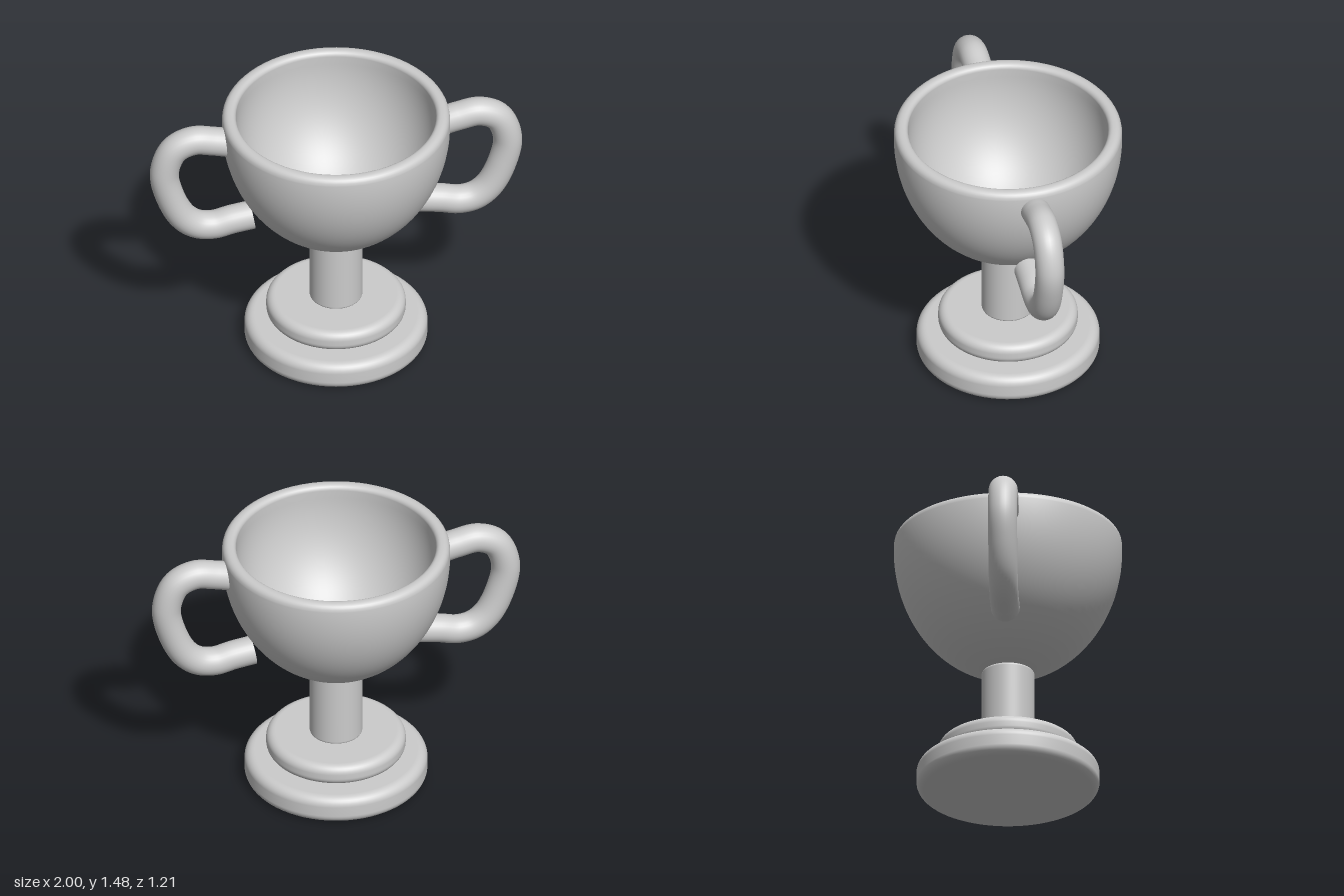
import * as THREE from 'three';

const material = new THREE.MeshStandardMaterial({ color: 0xcccccc });
const SEGMENTS = 72;

// Adds points along an elliptical arc to a lathe profile
function arc(points, cx, cy, rx, ry, from, to, steps) {
  for (let i = 0; i <= steps; i++) {
    const a = from + (to - from) * i / steps;
    points.push(new THREE.Vector2(Math.max(0, cx + rx * Math.cos(a)), cy + ry * Math.sin(a)));
  }
}

function lathe(name, points) {
  const mesh = new THREE.Mesh(new THREE.LatheGeometry(points, SEGMENTS), material);
  mesh.name = name;
  return mesh;
}

// Solid disc or column with rounded edges
function roundedDisc(name, radius, y0, y1, bevel) {
  const points = [new THREE.Vector2(0, y0), new THREE.Vector2(radius - bevel - 0.004, y0)];
  arc(points, radius - bevel, y0 + bevel, bevel, bevel, -Math.PI / 2, 0, 8);
  arc(points, radius - bevel, y1 - bevel, bevel, bevel, 0, Math.PI / 2, 8);
  points.push(new THREE.Vector2(radius - bevel - 0.004, y1), new THREE.Vector2(0, y1));
  return lathe(name, points);
}

// Hollow bowl: outer wall, rounded rim, inner wall
function bowl() {
  const points = [];
  arc(points, 0, 1.4, 0.605, 0.715, -Math.PI / 2, 0, 32);
  points.push(new THREE.Vector2(0.604, 1.435));
  arc(points, 0.567, 1.438, 0.036, 0.037, 0.1, Math.PI / 2, 6);
  arc(points, 0.558, 1.447, 0.028, 0.028, Math.PI / 2, Math.PI, 6);
  arc(points, 0, 1.4, 0.53, 0.64, 0, -Math.PI / 2, 32);
  return lathe('bowl', points);
}

// Curved tube handle with flat end caps, on the +x side
function handle(name) {
  const radius = 0.077;
  const path = new THREE.CatmullRomCurve3([
    [0.57, 1.35], [0.66, 1.372], [0.77, 1.388], [0.87, 1.34], [0.922, 1.2],
    [0.893, 1.04], [0.825, 0.9], [0.75, 0.838], [0.66, 0.822], [0.56, 0.843], [0.45, 0.86],
  ].map(([x, y]) => new THREE.Vector3(x, y, 0)));
  const group = new THREE.Group();
  group.name = name;
  const tube = new THREE.Mesh(new THREE.TubeGeometry(path, 80, radius, 28), material);
  tube.name = name + 'Tube';
  group.add(tube);
  for (const t of [0, 1]) {
    const cap = new THREE.Mesh(new THREE.CircleGeometry(radius, 28), material);
    cap.name = name + 'Cap';
    const outward = path.getTangentAt(t).multiplyScalar(t ? 1 : -1);
    cap.quaternion.setFromUnitVectors(new THREE.Vector3(0, 0, 1), outward);
    cap.position.copy(path.getPointAt(t));
    group.add(cap);
  }
  return group;
}

export function createModel() {
  const model = new THREE.Group();
  model.name = 'trophyCup';
  model.add(
    roundedDisc('lowerBase', 0.485, 0, 0.155, 0.05),
    roundedDisc('upperBase', 0.37, 0.165, 0.28, 0.045),
    roundedDisc('stem', 0.14, 0.275, 0.69, 0.015),
    bowl(),
  );

  const left = handle('leftHandle');
  const right = handle('rightHandle');
  right.rotation.y = Math.PI;
  model.add(left, right);
  return model;
}
